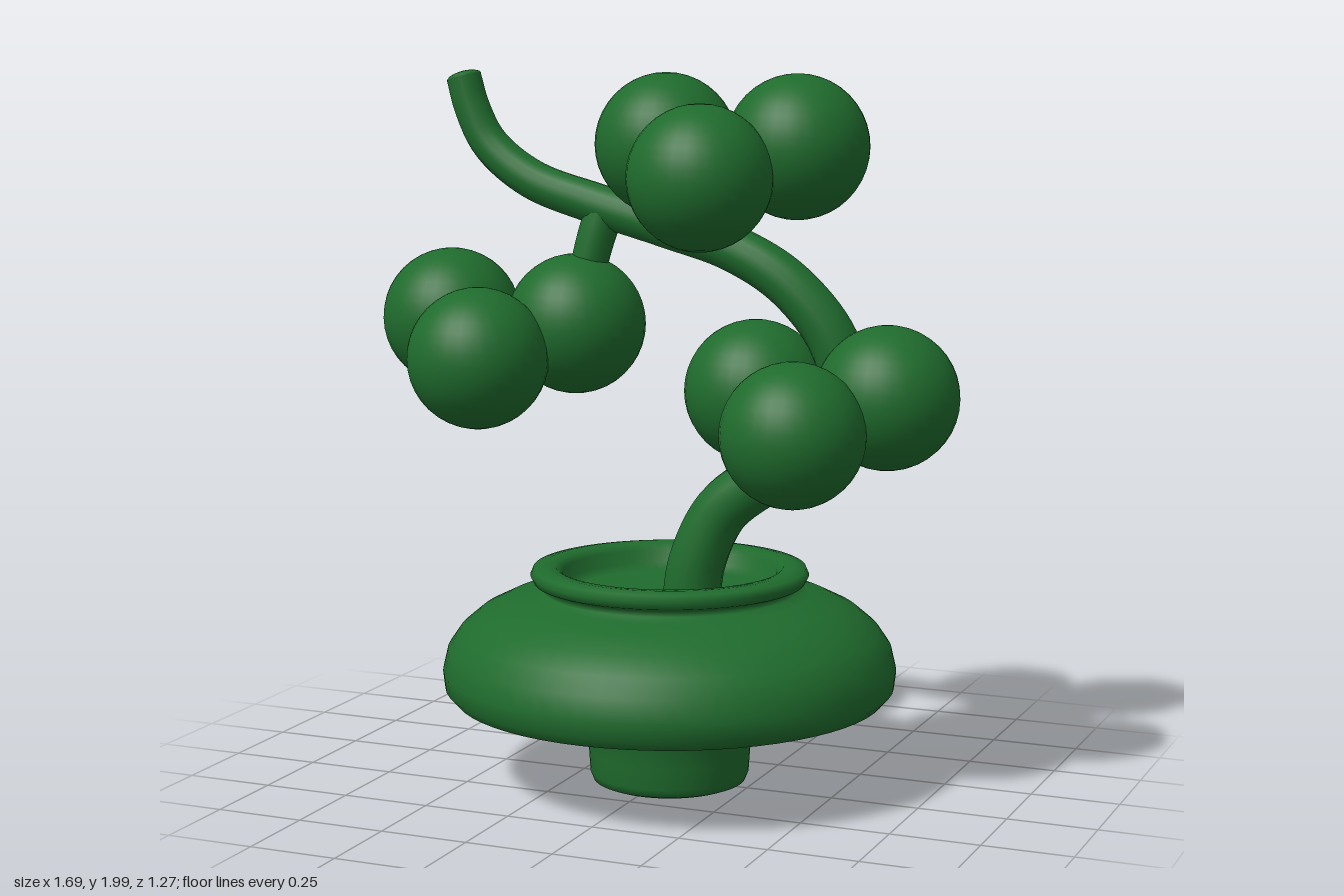
import * as THREE from 'three';

const green = new THREE.MeshStandardMaterial({ color: 0x1f6b2d });
const v = (x, y, z) => new THREE.Vector3(x, y, z);

function add(parent, name, geometry) {
  const mesh = new THREE.Mesh(geometry, green);
  mesh.name = name;
  parent.add(mesh);
  return mesh;
}

// Round limb along a curve, tapering from r0 to r1
function limb(points, r0, r1, segments) {
  const curve = new THREE.CatmullRomCurve3(points.map(p => v(...p)));
  const sides = 16;
  const geo = new THREE.TubeGeometry(curve, segments, 1, sides, false);
  const pos = geo.attributes.position;
  const p = v(0, 0, 0);
  for (let i = 0; i <= segments; i++) {
    const t = i / segments;
    const centre = curve.getPointAt(t);
    const r = THREE.MathUtils.lerp(r0, r1, t);
    for (let j = 0; j <= sides; j++) {
      const k = i * (sides + 1) + j;
      p.fromBufferAttribute(pos, k).sub(centre).multiplyScalar(r).add(centre);
      pos.setXYZ(k, p.x, p.y, p.z);
    }
  }
  return geo;
}

export function createModel() {
  const model = new THREE.Group();
  model.name = 'bonsai';

  // Pot: foot, wide rounded bowl, lip and sunken soil in one turned profile
  const profile = [
    [0, 0.01], [0.195, 0.01], [0.215, 0.018], [0.224, 0.04], [0.228, 0.1],
    [0.236, 0.17], [0.255, 0.215], [0.29, 0.243], [0.4, 0.25], [0.55, 0.252],
    [0.605, 0.262], [0.63, 0.29], [0.636, 0.34], [0.622, 0.4], [0.588, 0.45],
    [0.535, 0.495], [0.465, 0.53], [0.39, 0.55], [0.355, 0.56], [0.352, 0.575],
    [0.38, 0.585], [0.39, 0.605], [0.382, 0.624], [0.35, 0.63], [0.318, 0.627],
    [0.3, 0.61], [0.293, 0.575], [0.27, 0.555], [0, 0.55],
  ].map(([x, y]) => new THREE.Vector2(x, y));
  add(model, 'pot', new THREE.LatheGeometry(profile, 64)).position.set(0.015, 0, 0);

  // Winding trunk with a rounded, cut-off tip
  add(model, 'trunk', limb([
    [0.07, 0.5, -0.02], [0.09, 0.64, -0.02], [0.16, 0.79, -0.03], [0.3, 0.9, -0.035],
    [0.44, 1.0, -0.035], [0.515, 1.13, -0.03], [0.485, 1.28, -0.02], [0.36, 1.43, -0.01],
    [0.2, 1.52, -0.01], [0, 1.575, -0.02], [-0.22, 1.63, -0.03], [-0.42, 1.695, -0.03],
    [-0.55, 1.79, -0.035], [-0.605, 1.89, -0.035], [-0.63, 1.975, -0.035],
  ], 0.082, 0.05, 100));
  const tip = add(model, 'trunkTip', new THREE.SphereGeometry(0.05, 16, 10));
  tip.position.set(-0.63, 1.975, -0.035);
  tip.scale.y = 0.35;
  tip.rotation.z = 0.28;

  // Twigs carrying the foliage
  const twigs = [
    [[-0.19, 1.62, -0.03], [-0.215, 1.54, -0.02], [-0.25, 1.4, -0.01]],
    [[0.13, 1.54, -0.01], [0.15, 1.64, -0.01], [0.19, 1.78, 0.02]],
    [[0.5, 1.1, -0.03], [0.5, 1.1, 0.05], [0.46, 1.07, 0.15]],
  ];
  twigs.forEach(path => add(model, 'twig', limb(path, 0.055, 0.05, 12)));

  // Three foliage clusters of three balls: left, right and front
  const clusters = [
    ['upperFoliage', [[0, 1.8, -0.01], [0.38, 1.8, -0.015], [0.19, 1.725, 0.215]]],
    ['middleFoliage', [[-0.65, 1.3, 0.015], [-0.272, 1.295, -0.005], [-0.462, 1.215, 0.23]]],
    ['lowerFoliage', [[0.27, 1.135, 0], [0.645, 1.135, -0.005], [0.46, 1.055, 0.225]]],
  ];
  for (const [name, centres] of clusters) {
    const cluster = new THREE.Group();
    cluster.name = name;
    for (const c of centres) {
      add(cluster, 'foliageBall', new THREE.SphereGeometry(0.196, 32, 20)).position.set(...c);
    }
    model.add(cluster);
  }

  return model;
}
